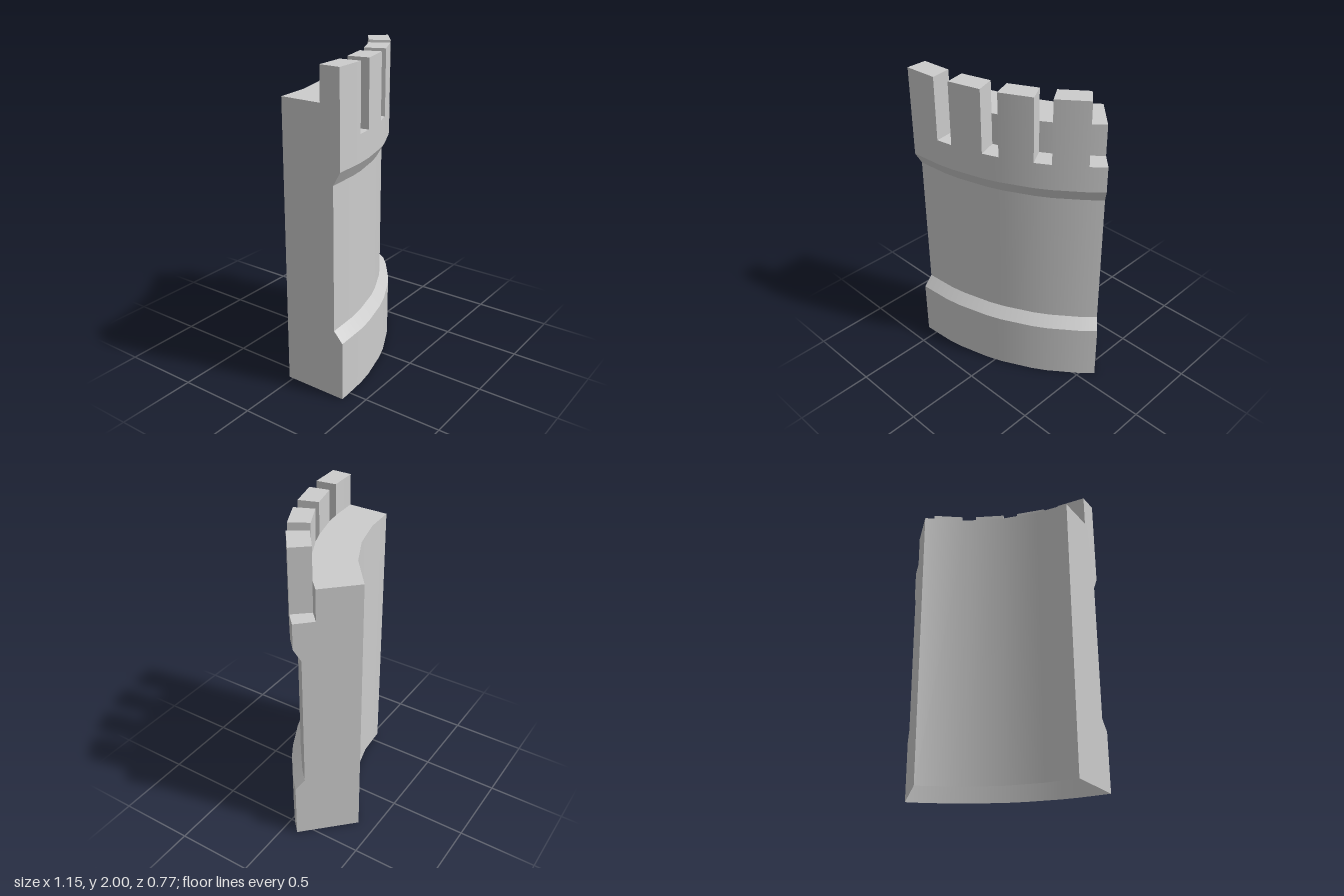
import * as THREE from 'three';

// Centre of the arc that the wall is swept around
const CX = -0.58, CZ = -1.25;
const rad = THREE.MathUtils.degToRad;
// Radii and heights
const R_IN = 1.22, R_PARAPET = 1.488, R_OUT = 1.62;
const Y_GAP = 1.595, Y_DECK = 1.795, Y_TOP = 2;
// Angles of the facets, in degrees
const OUTER = [0, 7.5, 11.25, 18.75, 22.5, 30, 33.75, 41.25, 45];
const INNER = [0, 9.7, 20.75, 31.9, 45];

const point = (deg, r, y) => [CX + r * Math.sin(rad(deg)), y, CZ + r * Math.cos(rad(deg))];

export function createModel() {
  const group = new THREE.Group();
  const stone = new THREE.MeshStandardMaterial({ color: 0xcccccc, side: THREE.DoubleSide });
  stone.name = 'stone';

  function add(name, geometry, parent = group) {
    const mesh = new THREE.Mesh(geometry, stone);
    mesh.name = name;
    parent.add(mesh);
    return mesh;
  }

  // Strip swept round the arc from (r0, y0) to (r1, y1), smooth along the curve
  function band(r0, y0, r1, y1, angles) {
    const pos = [], nor = [], idx = [];
    const len = Math.hypot(r1 - r0, y1 - y0);
    const nr = (y1 - y0) / len, ny = (r0 - r1) / len;
    angles.forEach((a, i) => {
      pos.push(...point(a, r0, y0), ...point(a, r1, y1));
      const n = [nr * Math.sin(rad(a)), ny, nr * Math.cos(rad(a))];
      nor.push(...n, ...n);
      if (i) {
        const k = 2 * i;
        idx.push(k - 2, k, k + 1, k - 2, k + 1, k - 1);
      }
    });
    const g = new THREE.BufferGeometry();
    g.setAttribute('position', new THREE.Float32BufferAttribute(pos, 3));
    g.setAttribute('normal', new THREE.Float32BufferAttribute(nor, 3));
    g.setIndex(idx);
    return g;
  }

  // Flat upright face in the radial plane at an angle; side -1 faces back along the arc, 1 faces on
  function radialFace(profile, deg, side) {
    const shape = new THREE.Shape(profile.map(([r, y]) => new THREE.Vector2(-side * r, y)));
    const g = new THREE.ShapeGeometry(shape);
    g.rotateY(rad(deg) + side * Math.PI / 2);
    return g.translate(CX, 0, CZ);
  }

  // Outer face: plinth, slope, wall, corbel and parapet
  const outerProfile = [
    [1.633, 0], [1.633, 0.378], [1.573, 0.445],
    [1.573, 1.345], [R_OUT, 1.428], [R_OUT, Y_GAP],
  ];
  const names = ['plinth', 'plinthSlope', 'outerWall', 'corbel', 'parapetBand'];
  names.forEach((name, i) =>
    add(name, band(...outerProfile[i], ...outerProfile[i + 1], OUTER)));

  // Inner face
  add('innerWall', band(R_IN, Y_DECK, R_IN, 0, INNER));

  // Walkway on top
  const outline = [
    ...INNER.map((a) => point(a, R_IN, 0)),
    ...OUTER.map((a) => point(a, R_PARAPET, 0)).reverse(),
  ].map(([x, , z]) => new THREE.Vector2(x, -z));
  const deck = new THREE.ShapeGeometry(new THREE.Shape(outline));
  deck.rotateX(-Math.PI / 2).translate(0, Y_DECK, 0);
  add('walkway', deck);

  // Merlons alternate with gaps along the outer edge
  const sideProfile = [[R_PARAPET, Y_GAP], [R_OUT, Y_GAP], [R_OUT, Y_TOP], [R_PARAPET, Y_TOP]];
  for (let i = 0; i < OUTER.length - 1; i++) {
    const a0 = OUTER[i], a1 = OUTER[i + 1], span = [a0, a1];
    const part = new THREE.Group();
    group.add(part);
    if (i % 2 === 0) {
      part.name = 'merlon';
      add('merlonFront', band(R_OUT, Y_GAP, R_OUT, Y_TOP, span), part);
      add('merlonTop', band(R_OUT, Y_TOP, R_PARAPET, Y_TOP, span), part);
      add('merlonBack', band(R_PARAPET, Y_TOP, R_PARAPET, Y_DECK, span), part);
      if (i > 0) add('merlonSide', radialFace(sideProfile, a0, -1), part);
      add('merlonSide', radialFace(sideProfile, a1, 1), part);
    } else {
      part.name = 'gap';
      add('gapFloor', band(R_OUT, Y_GAP, R_PARAPET, Y_GAP, span), part);
      add('gapBack', band(R_PARAPET, Y_GAP, R_PARAPET, Y_DECK, span), part);
    }
  }

  // End faces: one rises with the first merlon, the other steps down at the last gap
  const deckEdge = [[R_PARAPET, Y_DECK], [R_IN, Y_DECK], [R_IN, 0]];
  add('rightEnd', radialFace(
    [...outerProfile, [R_OUT, Y_TOP], [R_PARAPET, Y_TOP], ...deckEdge], 0, -1));
  add('leftEnd', radialFace(
    [...outerProfile, [R_PARAPET, Y_GAP], ...deckEdge], 45, 1));

  return group;
}
